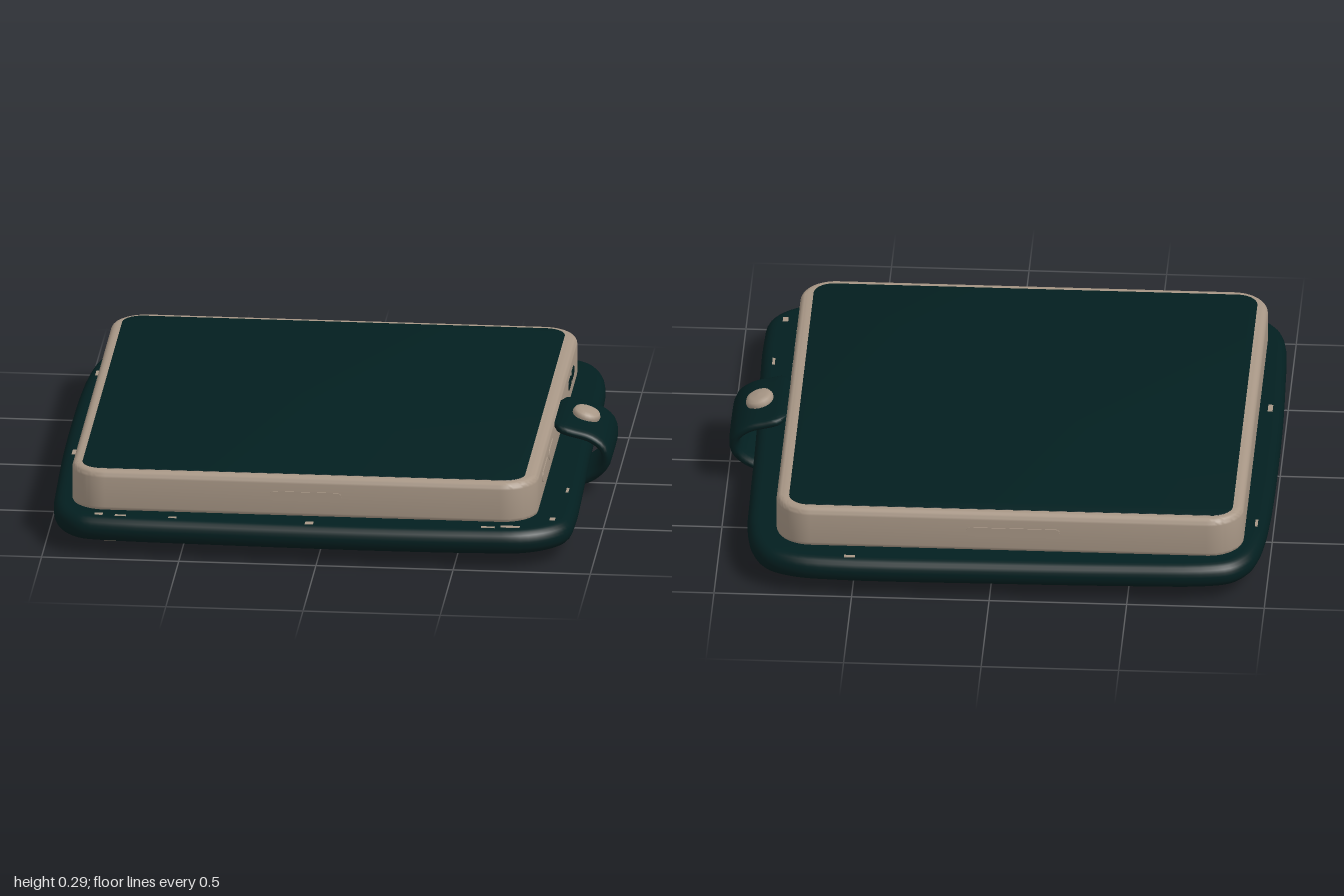
import * as THREE from 'three';
import { toCreasedNormals } from 'three/addons/utils/BufferGeometryUtils.js';

const teal = new THREE.MeshStandardMaterial({ name: 'dark teal', color: 0x031f20 });
const cream = new THREE.MeshStandardMaterial({ name: 'warm cream', color: 0xa89786 });

function addMesh(parent, name, geometry, material) {
  const mesh = new THREE.Mesh(geometry, material);
  mesh.name = name;
  parent.add(mesh);
  return mesh;
}

// Horizontal slab with rounded edges; shape y runs towards -z
function slab(shape, y0, y1, bevel) {
  const g = new THREE.ExtrudeGeometry(shape, {
    depth: y1 - y0 - 2 * bevel, curveSegments: 10,
    bevelThickness: bevel, bevelSize: bevel, bevelOffset: -bevel, bevelSegments: 5,
  });
  g.rotateX(-Math.PI / 2).translate(0, y0 + bevel, 0);
  return toCreasedNormals(g, 0.7);
}

function roundedRect(x0, x1, y0, y1, r) {
  const s = new THREE.Shape();
  s.absarc(x1 - r, y1 - r, r, 0, Math.PI / 2);
  s.absarc(x0 + r, y1 - r, r, Math.PI / 2, Math.PI);
  s.absarc(x0 + r, y0 + r, r, Math.PI, Math.PI * 1.5);
  s.absarc(x1 - r, y0 + r, r, Math.PI * 1.5, Math.PI * 2);
  s.closePath();
  return s;
}

// Strap swept along a side-on path, with a rounded flat section of varying width
function strapGeometry() {
  const path = new THREE.CatmullRomCurve3([
    [-0.03, 0.045], [0.25, 0.036], [0.6, 0.033], [0.8, 0.036], [0.91, 0.06],
    [0.972, 0.125], [0.97, 0.185], [0.925, 0.225], [0.85, 0.247], [0.785, 0.264],
  ].map(([x, y]) => new THREE.Vector3(x, y, 0)));
  const rings = 72, sides = 20, pos = [], index = [];
  for (let i = 0; i <= rings; i++) {
    const t = i / rings;
    const p = path.getPointAt(t), d = path.getTangentAt(t);
    const wide = 0.1 + 0.03 * THREE.MathUtils.smoothstep(t, 0, 0.6)
      + 0.048 * THREE.MathUtils.smoothstep(t, 0.66, 0.88);
    const end = Math.min(1, Math.min(t, 1 - t) / 0.04);
    const round = Math.sqrt(1 - (1 - end) ** 2);
    const half = wide * (0.72 + 0.28 * round);
    const thick = 0.02 * (0.35 + 0.65 * round);
    for (let j = 0; j < sides; j++) {
      const a = (j / sides) * Math.PI * 2;
      const c = Math.cos(a), s = Math.sin(a);
      const w = Math.sign(c) * Math.abs(c) ** 0.35 * half;
      const h = Math.sign(s) * Math.abs(s) ** 0.6 * thick;
      pos.push(p.x - d.y * h, p.y + d.x * h, w);
    }
  }
  for (let i = 0; i < rings; i++) {
    for (let j = 0; j < sides; j++) {
      const k = (j + 1) % sides;
      const a = i * sides + j, b = i * sides + k;
      index.push(a, a + sides, b, b, a + sides, b + sides);
    }
  }
  // End caps
  const last = rings * sides;
  for (let j = 1; j < sides - 1; j++) {
    index.push(0, j, j + 1, last, last + j + 1, last + j);
  }
  const g = new THREE.BufferGeometry();
  g.setAttribute('position', new THREE.Float32BufferAttribute(pos, 3));
  g.setIndex(index);
  return toCreasedNormals(g, 0.9);
}

// Thin pill plate facing +z
function pill(width, height) {
  return new THREE.ExtrudeGeometry(
    roundedRect(-width / 2, width / 2, -height / 2, height / 2, height * 0.45),
    { depth: 0.006, bevelEnabled: false, curveSegments: 6 });
}

export function createModel() {
  const model = new THREE.Group();
  model.name = 'portableDrive';

  // Soft base plate with gently bowed sides
  const outline = [
    [-0.965, -0.8], [-0.99, -0.6], [-1, 0], [-0.99, 0.5], [-0.972, 0.8], [-0.94, 0.89],
    [-0.88, 0.95], [-0.78, 0.97], [-0.4, 0.985], [0.2, 0.995], [0.6, 0.985], [0.75, 0.97],
    [0.85, 0.915], [0.905, 0.84], [0.918, 0.7], [0.915, 0.4], [0.905, 0], [0.9, -0.5],
    [0.895, -0.7], [0.87, -0.84], [0.82, -0.93], [0.72, -0.98], [0.55, -0.998],
    [0, -0.995], [-0.5, -0.985], [-0.78, -0.97], [-0.88, -0.94], [-0.935, -0.88],
  ].map(([x, z]) => new THREE.Vector3(x, -z, 0));
  const bow = new THREE.CatmullRomCurve3(outline, true).getPoints(110).slice(0, -1);
  const baseShape = new THREE.Shape(bow.map((p) => new THREE.Vector2(p.x, p.y)));
  addMesh(model, 'basePlate', slab(baseShape, 0.05, 0.143, 0.042), teal);

  // Worn flecks along the base rim: x, z, length in x, length in z
  for (const [x, z, w, d] of [
    [-0.95, 0.25, 0.018, 0.05], [-0.95, -0.62, 0.01, 0.05], [-0.8, 0.915, 0.03, 0.02],
    [-0.72, 0.925, 0.04, 0.015], [-0.53, 0.93, 0.03, 0.015], [-0.03, 0.945, 0.03, 0.025],
    [0.62, 0.93, 0.05, 0.015], [0.7, 0.918, 0.07, 0.02], [0.845, 0.82, 0.02, 0.03],
    [0.87, 0.5, 0.01, 0.05], [0.51, -0.955, 0.04, 0.015],
  ]) {
    addMesh(model, 'rimFleck', new THREE.BoxGeometry(w, 0.008, d), cream).position.set(x, 0.1405, z);
  }

  // Casing and its flush top panel
  addMesh(model, 'casing', slab(roundedRect(-0.912, 0.787, -0.87, 0.88, 0.13), 0.13, 0.29, 0.025), cream);
  addMesh(model, 'topPanel', slab(roundedRect(-0.873, 0.74, -0.832, 0.842, 0.075), 0.283, 0.2915, 0.001), teal);

  // Feet
  for (const x of [-0.765, 0.665]) {
    for (const z of [-0.733, 0.737]) {
      const profile = [[0, 0], [0.065, 0], [0.08, 0.008], [0.086, 0.022], [0.086, 0.065]]
        .map(([r, y]) => new THREE.Vector2(r, y));
      addMesh(model, 'foot', new THREE.LatheGeometry(profile, 24), cream).position.set(x, 0, z);
    }
  }

  // Strap and stud
  addMesh(model, 'strap', strapGeometry(), teal);
  const studProfile = [[0, -0.025], [0.048, -0.025], [0.052, 0.008], [0.046, 0.02], [0.03, 0.027], [0, 0.029]]
    .map(([r, y]) => new THREE.Vector2(r, y));
  const stud = addMesh(model, 'stud', new THREE.LatheGeometry(studProfile, 24), cream);
  stud.position.set(0.89, 0.256, -0.005);
  stud.rotation.z = -0.3;
  stud.scale.z = 1.2;

  // Shallow plates on the front, back and strap-side edges
  addMesh(model, 'frontPlate', pill(0.26, 0.035), cream).position.set(-0.05, 0.218, 0.867);
  const back = addMesh(model, 'backPlate', pill(0.34, 0.035), cream);
  back.position.set(-0.08, 0.218, -0.877);
  back.rotation.y = Math.PI;
  const sidePlates = [
    ['sideButton', 0.5, 0.19, 0.04, cream], ['sideButton', 0.275, 0.15, 0.04, cream],
    ['port', -0.455, 0.095, 0.034, teal], ['port', -0.565, 0.09, 0.034, teal],
  ];
  for (const [name, z, width, height, material] of sidePlates) {
    const plate = addMesh(model, name, pill(width, height), material);
    plate.position.set(0.784, 0.22, z);
    plate.rotation.y = Math.PI / 2;
  }
  return model;
}
